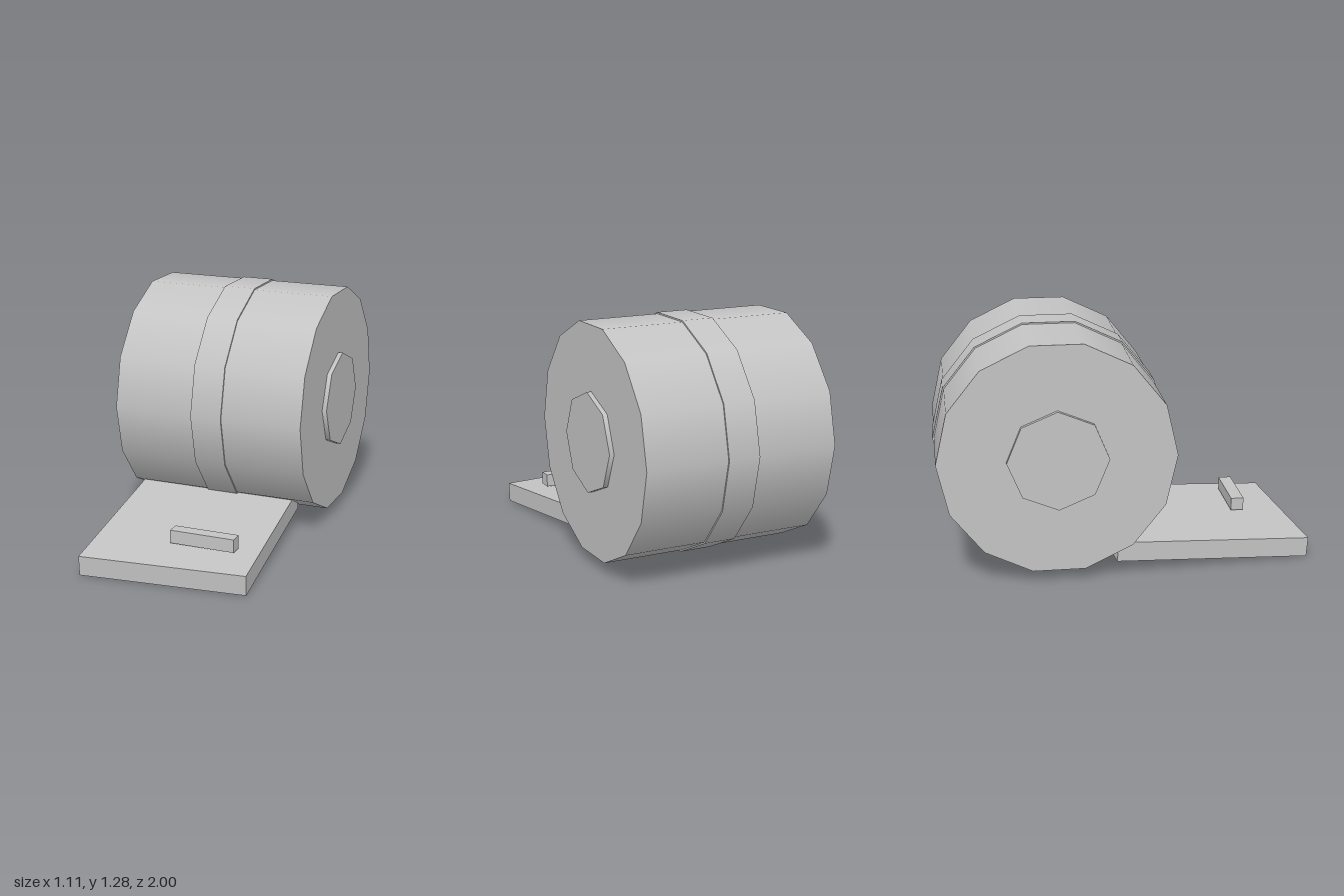
import * as THREE from 'three';

export function createModel() {
  const model = new THREE.Group();
  const grey = new THREE.MeshStandardMaterial({ color: 0xc4c4c4 });
  grey.name = 'plain grey';

  const add = (name, geometry, x, y, z) => {
    const mesh = new THREE.Mesh(geometry, grey);
    mesh.name = name;
    mesh.position.set(x, y, z);
    model.add(mesh);
    return mesh;
  };

  // Cylinders lying along x, with a corner pointing to the front
  const drum = (name, radius, length, sides, x = -0.002) =>
    add(name, new THREE.CylinderGeometry(radius, radius, length, sides).rotateZ(Math.PI / 2), x, 0.668, -0.372);

  drum('roll', 0.62, 1.06, 14);
  drum('band', 0.628, 0.173, 14);

  // Hub caps standing slightly proud of both ends
  for (const side of [-1, 1]) {
    drum(side > 0 ? 'leftHub' : 'rightHub', 0.264, 0.06, 8, side * 0.524 - 0.001);
  }

  // Tilted slab emerging from under the roll, turned a little to one side
  const slab = add('slab', new THREE.BoxGeometry(0.88, 0.106, 1.06), 0, 0.0905, 0.423);
  slab.rotation.set(0.071, 0.1, 0, 'YXZ');

  // Small bar resting on the slab
  add('bar', new THREE.BoxGeometry(0.35, 0.07, 0.07), 0.175, 0.17, 0.687);

  return model;
}
